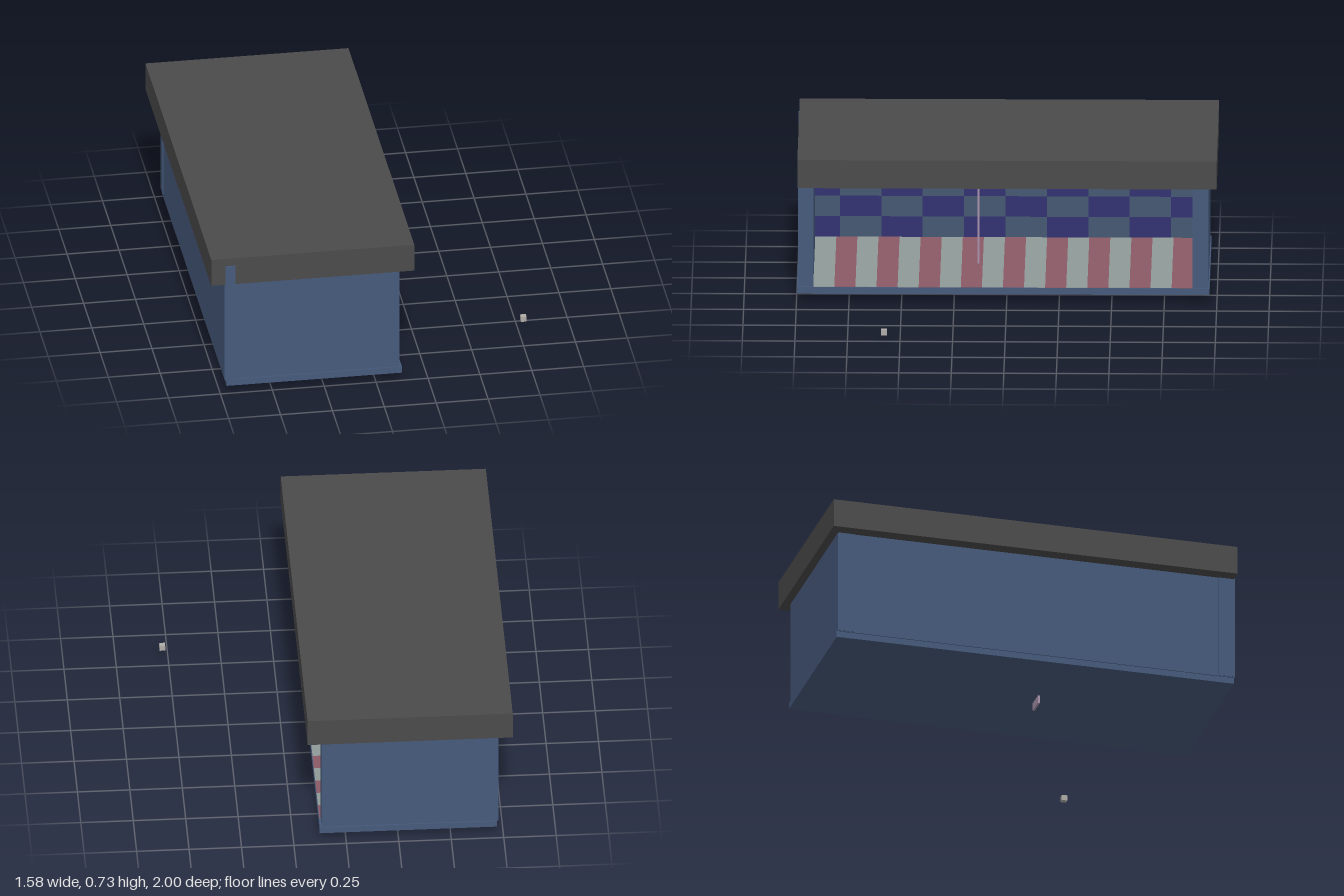
import * as THREE from 'three';

const mat = (color) => new THREE.MeshStandardMaterial({ color, flatShading: true });

// Box given by its extents on each axis
function block(name, material, [x0, x1], [y0, y1], [z0, z1]) {
  const mesh = new THREE.Mesh(new THREE.BoxGeometry(x1 - x0, y1 - y0, z1 - z0), material);
  mesh.position.set((x0 + x1) / 2, (y0 + y1) / 2, (z0 + z1) / 2);
  mesh.name = name;
  return mesh;
}

export function createModel() {
  const model = new THREE.Group();
  model.name = 'openShelter';
  const blue = mat(0x465a7c);
  const roofGrey = mat(0x4b4b4b);
  const tileBlue = mat(0x455873);
  const tilePurple = mat(0x323272);
  const stripePink = mat(0x8a5a66);
  const stripeGrey = mat(0x8f9a98);
  const mauve = mat(0xa892ac);

  // Shell: floor slab, long back wall, two end walls and overhanging roof
  model.add(
    block('floor', blue, [-0.72, 0.125], [0.04, 0.073], [-0.965, 0.998]),
    block('backWall', blue, [-0.725, -0.677], [0.07, 0.685], [-0.95, 1.0]),
    block('frontEndWall', blue, [-0.728, 0.115], [0.073, 0.6], [0.92, 0.993]),
    block('rearEndWall', blue, [-0.728, 0.115], [0.073, 0.6], [-0.96, -0.885]),
    block('roof', roofGrey, [-0.793, 0.185], [0.585, 0.725], [-1, 0.995])
  );

  // Checkered tiles on the inside of the back wall
  const tiles = new THREE.Group();
  tiles.name = 'wallTiles';
  const tileW = 0.197, tileH = 0.102, zMin = -0.885, zMax = 0.92;
  for (let row = 0; row < 5; row++) {
    const top = 0.585 - row * tileH;
    for (let col = 0; col < 10; col++) {
      const zHigh = 1.0 - col * tileW;
      const z = [Math.max(zMin, zHigh - tileW), Math.min(zMax, zHigh)];
      const m = (row + col) % 2 ? tileBlue : tilePurple;
      tiles.add(block('wallTile', m, [-0.68, -0.674], [top - tileH, top], z));
    }
  }
  model.add(tiles);

  // Striped floor covering between the end walls
  const stripes = new THREE.Group();
  stripes.name = 'floorStripes';
  const count = 18, step = (zMax - zMin) / count;
  for (let i = 0; i < count; i++) {
    const z = zMin + i * step;
    stripes.add(block('floorStripe', i % 2 ? stripeGrey : stripePink,
      [-0.675, 0.122], [0.07, 0.075], [z, z + step]));
  }
  model.add(stripes);

  // Thin upright panel passing through the floor
  model.add(block('uprightPanel', mauve, [-0.345, -0.253], [0, 0.59], [0.134, 0.144]));

  // Small detached cube beside the open side
  model.add(block('smallCube', mat(0xb0aca8), [0.763, 0.79], [0.042, 0.069], [0.562, 0.589]));

  return model;
}
